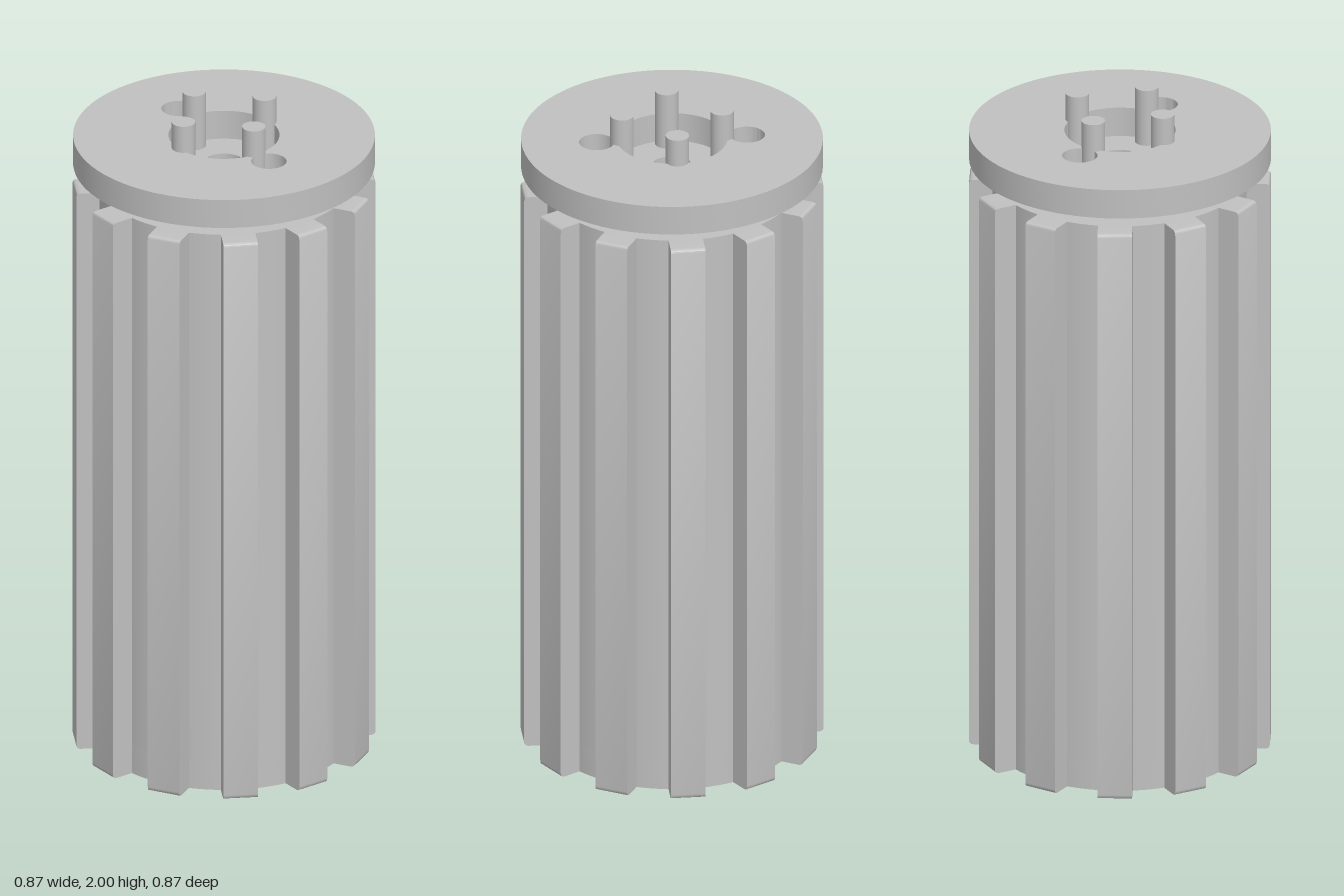
import * as THREE from 'three';
import { toCreasedNormals } from 'three/addons/utils/BufferGeometryUtils.js';

const steel = new THREE.MeshStandardMaterial({ color: 0xc0c0c0 });
steel.name = 'plain grey';

const TEETH = 12, TIP = 0.434, ROOT = 0.37, TOOTH_WIDTH = 0.1;
const BODY_TOP = 1.775, DISC_BOTTOM = 1.828, DISC_TOP = 1.917;
const BORE = 0.06, SOCKET = 0.16, SOCKET_DEPTH = 0.09;
const boltHoles = [[0, 0.218, 0.051], [0, -0.218, 0.051]];

function add(group, name, geometry) {
  const mesh = new THREE.Mesh(geometry, steel);
  mesh.name = name;
  group.add(mesh);
  return mesh;
}

// Round plate between two heights with circular holes given as [x, z, radius]
function plate(radius, y0, y1, holes) {
  const shape = new THREE.Shape().absarc(0, 0, radius, 0, Math.PI * 2);
  for (const [x, z, r] of holes) {
    shape.holes.push(new THREE.Path().absarc(x, -z, r, 0, Math.PI * 2, true));
  }
  const geometry = new THREE.ExtrudeGeometry(shape, {
    depth: y1 - y0, bevelEnabled: false, curveSegments: 48,
  });
  geometry.rotateX(-Math.PI / 2).translate(0, y0, 0);
  return toCreasedNormals(geometry, Math.PI / 6);
}

// Straight spline tooth with rounded outer ends, pointing along +x
function toothGeometry() {
  const inner = ROOT - 0.02, c = 0.014;
  const profile = new THREE.Shape();
  profile.moveTo(inner, 0);
  profile.lineTo(TIP - c, 0);
  profile.quadraticCurveTo(TIP, 0, TIP, c);
  profile.lineTo(TIP, BODY_TOP - c);
  profile.quadraticCurveTo(TIP, BODY_TOP, TIP - c, BODY_TOP);
  profile.lineTo(inner, BODY_TOP);
  const geometry = new THREE.ExtrudeGeometry(profile, {
    depth: TOOTH_WIDTH, bevelEnabled: false, curveSegments: 5,
  });
  geometry.translate(0, 0, -TOOTH_WIDTH / 2);
  return toCreasedNormals(geometry, Math.PI / 6);
}

export function createModel() {
  const model = new THREE.Group();
  model.name = 'splinedRoller';

  // Body core: bored cylinder with a socket and two blind holes underneath
  add(model, 'bodyBase', plate(ROOT, 0, SOCKET_DEPTH, [[0, 0, 0.155], ...boltHoles]));
  add(model, 'bodyCore', plate(ROOT, SOCKET_DEPTH, BODY_TOP, [[0, 0, BORE]]));

  // Teeth around the body
  const tooth = toothGeometry();
  for (let i = 0; i < TEETH; i++) {
    add(model, 'tooth', tooth).rotation.y = (i / TEETH) * Math.PI * 2;
  }

  // Flared neck under the disc
  const neckProfile = [
    [BORE, BODY_TOP], [0.185, BODY_TOP], [0.172, 1.782], [SOCKET, 1.797],
    [SOCKET, DISC_BOTTOM], [BORE, DISC_BOTTOM], [BORE, BODY_TOP],
  ].map(([r, y]) => new THREE.Vector2(r, y));
  add(model, 'neck', toCreasedNormals(new THREE.LatheGeometry(neckProfile, 64), Math.PI / 6));

  // Top disc with central opening and two round holes
  add(model, 'topDisc', plate(0.435, DISC_BOTTOM, DISC_TOP, [[0, 0, SOCKET], ...boltHoles]));

  // Four drive pins
  const pin = new THREE.CylinderGeometry(0.034, 0.034, 2 - BODY_TOP, 32);
  for (let i = 0; i < 4; i++) {
    const a = (i * Math.PI) / 2;
    add(model, 'pin', pin).position.set(
      0.145 * Math.cos(a), (2 + BODY_TOP) / 2, 0.145 * Math.sin(a));
  }
  return model;
}
